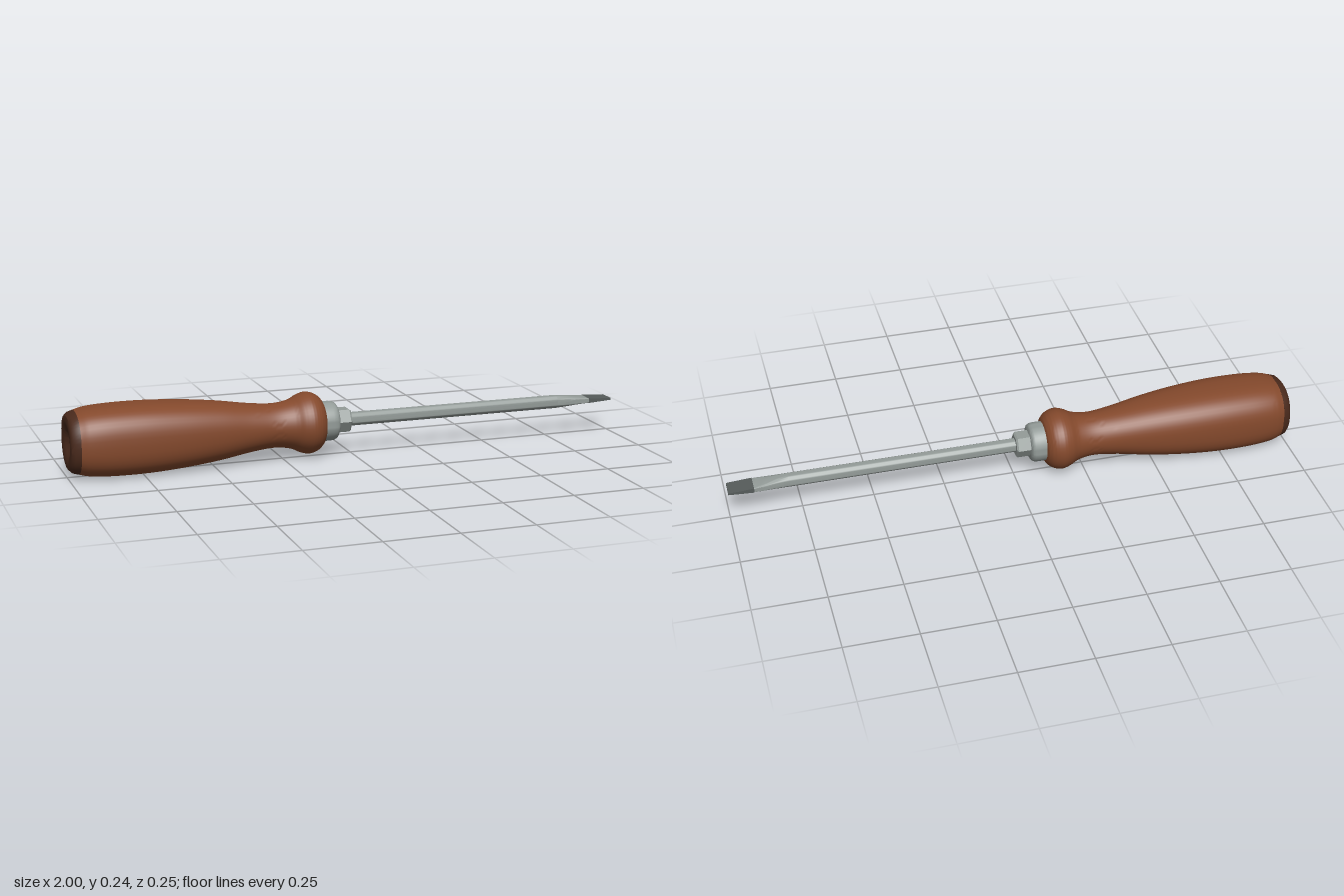
import * as THREE from 'three';
import { toCreasedNormals } from 'three/addons/utils/BufferGeometryUtils.js';

const AXIS_Y = 0.121;

// Smoothly resample sections [x, halfHeight, halfDepth, squareness]
function refine(sections, steps) {
  const size = new THREE.CatmullRomCurve3(
    sections.map(([x, h, d]) => new THREE.Vector3(x, h, d)), false, 'catmullrom', 0.5);
  const square = new THREE.CatmullRomCurve3(
    sections.map((s) => new THREE.Vector3(s[3], 0, 0)), false, 'catmullrom', 0.5);
  return Array.from({ length: steps + 1 }, (_, i) => {
    const p = size.getPoint(i / steps);
    return [p.x, p.y, p.z, square.getPoint(i / steps).x];
  });
}

// Skin superellipse sections along x and close both ends
function loft(sections, sides = 48, crease = 0.6, turn = 0) {
  const pos = [], index = [];
  const bend = (v, n) => Math.sign(v) * Math.pow(Math.abs(v), 2 / n);
  for (const [x, h, d, n] of sections) {
    for (let j = 0; j < sides; j++) {
      const a = (j / sides) * Math.PI * 2 + turn;
      pos.push(x, h * bend(Math.cos(a), n), d * bend(Math.sin(a), n));
    }
  }
  const last = sections.length - 1;
  const start = pos.length / 3, end = start + 1;
  pos.push(sections[0][0], 0, 0, sections[last][0], 0, 0);
  for (let j = 0; j < sides; j++) {
    const k = (j + 1) % sides;
    for (let i = 0; i < last; i++) {
      const p = i * sides, q = p + sides;
      index.push(p + j, p + k, q + j, p + k, q + k, q + j);
    }
    index.push(start, k, j, end, last * sides + j, last * sides + k);
  }
  const geo = new THREE.BufferGeometry();
  geo.setAttribute('position', new THREE.Float32BufferAttribute(pos, 3));
  geo.setIndex(index);
  return toCreasedNormals(geo, crease);
}

// Circular sections from [x, radius] pairs
const round = (pairs) => pairs.map(([x, r]) => [x, r, r, 2]);

export function createModel() {
  const material = (name, color) => {
    const m = new THREE.MeshStandardMaterial({ color });
    m.name = name;
    return m;
  };
  const wood = material('brown wood', 0x84492c);
  const darkWood = material('dark brown', 0x4a2a1c);
  const steel = material('steel', 0x949c99);
  const darkSteel = material('dark steel', 0x565c5b);

  const model = new THREE.Group();
  model.name = 'screwdriver';
  const add = (name, geo, mat) => {
    const mesh = new THREE.Mesh(geo, mat);
    mesh.name = name;
    mesh.position.y = AXIS_Y;
    model.add(mesh);
  };

  // Squarish grip narrowing to a round neck and flange
  add('handle', loft(refine([
    [-0.97, 0.105, 0.109, 2.4],
    [-0.93, 0.114, 0.12, 2.5],
    [-0.85, 0.119, 0.126, 2.6],
    [-0.73, 0.119, 0.126, 2.6],
    [-0.6, 0.112, 0.118, 2.5],
    [-0.48, 0.1, 0.104, 2.35],
    [-0.37, 0.084, 0.087, 2.15],
    [-0.285, 0.077, 0.078, 2],
    [-0.225, 0.085, 0.085, 2],
    [-0.19, 0.101, 0.101, 2],
    [-0.16, 0.108, 0.108, 2],
    [-0.13, 0.099, 0.099, 2],
    [-0.112, 0.082, 0.082, 2],
    [-0.106, 0.068, 0.068, 2],
  ], 78)), wood);

  // Rounded end cap with a shallow dimple
  add('endCap', loft([
    [-0.978, 0.012, 0.012, 2],
    [-0.982, 0.03, 0.03, 2],
    [-0.992, 0.046, 0.046, 2],
    [-0.998, 0.062, 0.063, 2.1],
    [-1, 0.076, 0.078, 2.2],
    [-0.997, 0.091, 0.094, 2.3],
    [-0.987, 0.1, 0.104, 2.4],
    [-0.968, 0.106, 0.11, 2.4],
  ]), darkWood);
  add('endPin', loft(round([[-0.985, 0.005], [-0.983, 0.009], [-0.975, 0.009]]), 16), wood);

  // Metal collar
  add('collar', loft(round([
    [-0.115, 0.069], [-0.08, 0.0695], [-0.067, 0.068],
    [-0.059, 0.064], [-0.055, 0.057],
  ])), steel);

  // Chamfered hex bolster with corners to the sides
  add('hexBolster', loft(round([
    [-0.06, 0.0455], [-0.011, 0.0455], [-0.005, 0.04],
  ]), 6, 0.3, Math.PI / 6), steel);

  // Shaft, then the flare that flattens it into the blade
  add('shaft', loft(round([[-0.02, 0.024], [0.79, 0.024]]), 32), steel);
  add('bladeFlare', loft([
    [0.79, 0.024, 0.024, 2],
    [0.83, 0.0195, 0.026, 2.6],
    [0.87, 0.0135, 0.0295, 4],
    [0.895, 0.0105, 0.031, 7],
    [0.915, 0.008, 0.0315, 14],
  ], 32), steel);

  // Thin darkened blade tip
  const corner = Math.SQRT2;
  add('bladeTip', loft([
    [0.912, 0.0085 * corner, 0.032 * corner, 2],
    [0.96, 0.0055 * corner, 0.032 * corner, 2],
    [1, 0.0035 * corner, 0.031 * corner, 2],
  ], 4, 0.3, Math.PI / 4), darkSteel);

  return model;
}
